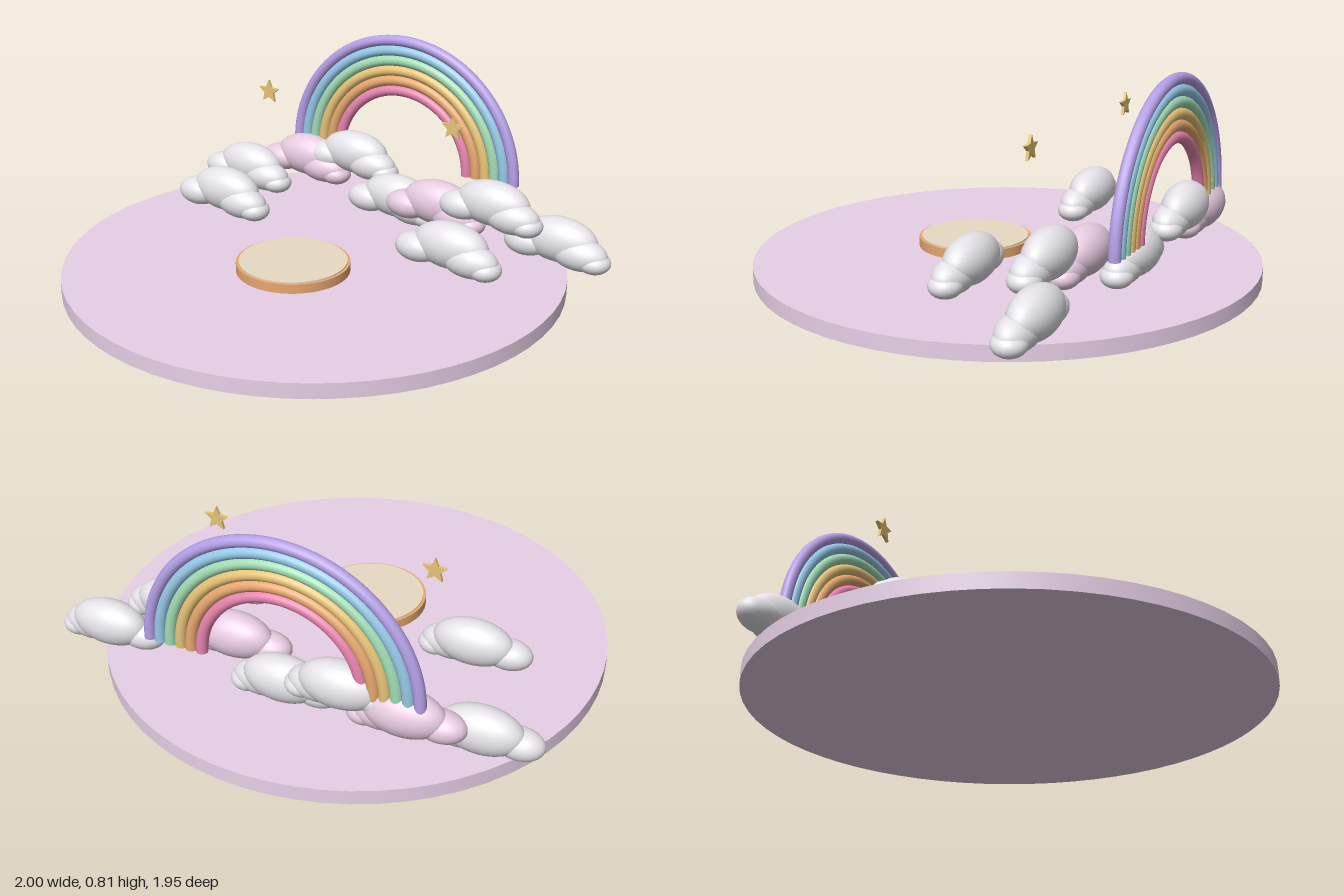
import * as THREE from 'three';

const mat = (name, color) => {
  const m = new THREE.MeshStandardMaterial({ color });
  m.name = name;
  return m;
};

export function createModel() {
  const model = new THREE.Group();
  model.name = 'rainbowStage';
  const CX = -0.023;

  const lilac = mat('lilac', 0xf0d8f0);
  const cream = mat('cream', 0xf2e5cc);
  const orange = mat('orange', 0xf0ae74);
  const white = mat('cloudWhite', 0xf7f5fa);
  const blush = mat('cloudPink', 0xf5d8ee);
  const gold = mat('gold', 0xf0cb7c);
  const pink = mat('pink', 0xf48cb8);
  const green = mat('green', 0xa2dcb4);
  const blue = mat('blue', 0x98cbea);
  const purple = mat('purple', 0xb8a2ea);

  const add = (parent, name, geometry, material, x = 0, y = 0, z = 0) => {
    const mesh = new THREE.Mesh(geometry, material);
    mesh.name = name;
    mesh.position.set(x, y, z);
    parent.add(mesh);
    return mesh;
  };

  // Round base and small podium
  add(model, 'base', new THREE.CylinderGeometry(0.976, 0.976, 0.058, 64), lilac, CX, 0.029, 0);
  add(model, 'podiumRim', new THREE.CylinderGeometry(0.219, 0.219, 0.036, 48), orange, CX, 0.09, 0.143);
  add(model, 'podiumTop', new THREE.CylinderGeometry(0.208, 0.208, 0.008, 48), cream, CX, 0.109, 0.143);

  // Rainbow: nested half rings with closed ends
  const rainbow = new THREE.Group();
  rainbow.name = 'rainbow';
  rainbow.position.set(CX, 0.268, -0.66);
  model.add(rainbow);
  const tube = 0.0225;
  [purple, blue, green, gold, orange, pink].forEach((m, i) => {
    const r = 0.523 - i * 0.0426;
    add(rainbow, `${m.name}Band`, new THREE.TorusGeometry(r, tube, 14, 64, Math.PI), m);
    for (const side of [-1, 1]) {
      const cap = add(rainbow, `${m.name}BandEnd`, new THREE.CircleGeometry(tube, 14), m, side * r, 0, 0);
      cap.rotation.x = Math.PI / 2;
    }
  });

  // Clouds: one large puff with three smaller ones; [x, y, z, rx, ry, rz]
  const puffs = [
    [0, 0, -0.005, 0.156, 0.091, 0.08],
    [-0.132, -0.03, 0.012, 0.093, 0.058, 0.064],
    [0.09, -0.035, 0.012, 0.115, 0.066, 0.069],
    [0.152, -0.055, 0.012, 0.066, 0.045, 0.062],
  ];
  const sphere = new THREE.SphereGeometry(1, 28, 18);
  const cloud = (x, y, z, m = white) => {
    const group = new THREE.Group();
    group.name = 'cloud';
    group.position.set(x, y, z);
    for (const [px, py, pz, ...radii] of puffs) {
      add(group, 'puff', sphere, m, px, py, pz).scale.set(...radii);
    }
    model.add(group);
  };
  cloud(-0.547, 0.203, -0.122);
  cloud(0.508, 0.203, -0.122);
  cloud(-0.725, 0.157, -0.53);
  cloud(-0.475, 0.22, -0.625, blush);
  cloud(-0.242, 0.274, -0.635);
  cloud(0.022, 0.157, -0.55);
  cloud(0.27, 0.215, -0.45, blush);
  cloud(0.525, 0.274, -0.43);
  cloud(0.78, 0.157, -0.503);

  // Pair of floating stars
  const star = new THREE.Shape();
  for (let i = 0; i < 10; i++) {
    const r = i % 2 ? 0.022 : 0.049;
    const a = Math.PI / 2 + (i * Math.PI) / 5;
    star[i ? 'lineTo' : 'moveTo'](r * Math.cos(a), r * Math.sin(a));
  }
  star.closePath();
  const starGeometry = new THREE.ExtrudeGeometry(star, { depth: 0.012, bevelEnabled: false });
  starGeometry.translate(0, 0, -0.006);
  for (const side of [-1, 1]) {
    add(model, side < 0 ? 'rightStar' : 'leftStar', starGeometry, gold, CX + side * 0.428, 0.595, -0.304);
  }

  return model;
}
